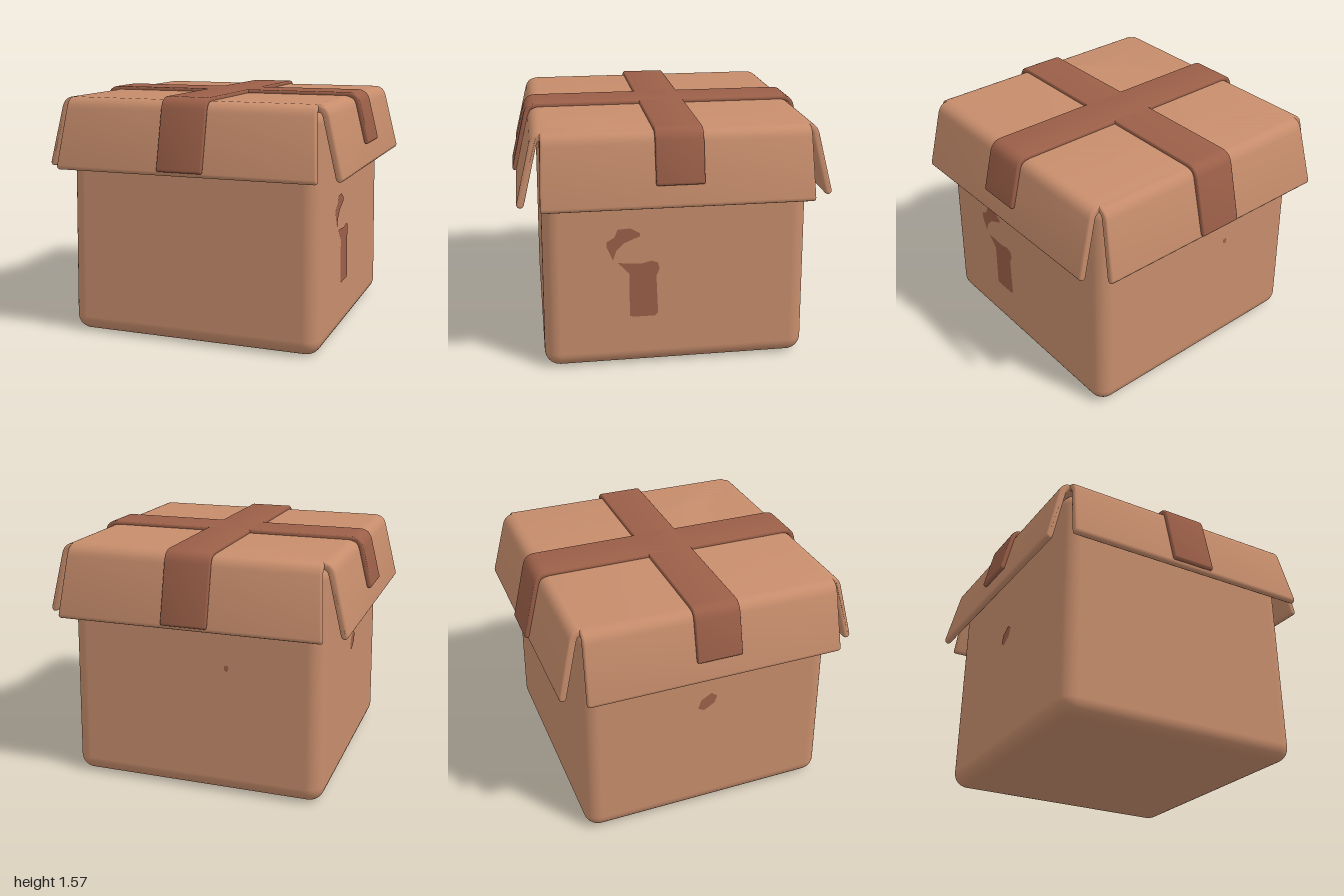
import * as THREE from 'three';
import { toCreasedNormals } from 'three/addons/utils/BufferGeometryUtils.js';
import { RoundedBoxGeometry } from 'three/addons/geometries/RoundedBoxGeometry.js';

const material = (name, color) => Object.assign(new THREE.MeshStandardMaterial({ color }), { name });

// Moves every vertex of a geometry by a rule
function bend(geometry, rule) {
  const pos = geometry.attributes.position;
  const v = new THREE.Vector3();
  for (let i = 0; i < pos.count; i++) {
    v.fromBufferAttribute(pos, i);
    rule(v);
    pos.setXYZ(i, v.x, v.y, v.z);
  }
  return geometry;
}

// Half width of the slightly tapered carton at height y
const half = (y) => 0.843 - 0.014 * y;

// A strip lying over the top and folded down at both ends, with rounded tips
function foldedStrip({ top, shoulder, corner, side, tip, thickness, halfWidth, flare = 0, bevel }) {
  const start = new THREE.Vector2(shoulder, top);
  const control = new THREE.Vector2(corner, top);
  const knee = new THREE.Vector2(...side);
  const end = new THREE.Vector2(...tip);
  const curve = new THREE.QuadraticBezierCurve(start, control, knee);
  const outer = [], inner = [];
  for (let i = 0; i <= 10; i++) {
    const p = curve.getPoint(i / 10), t = curve.getTangent(i / 10);
    outer.push(p);
    inner.push(new THREE.Vector2(p.x + t.y * thickness, p.y - t.x * thickness));
  }
  const d = end.clone().sub(knee).normalize();
  const n = new THREE.Vector2(-d.y, d.x);
  const r = thickness / 2;
  const centre = end.clone().addScaledVector(n, -r).addScaledVector(d, -r);
  const cap = [];
  for (let i = 0; i <= 6; i++) {
    const a = (i / 6) * Math.PI;
    cap.push(centre.clone().addScaledVector(n, r * Math.cos(a)).addScaledVector(d, r * Math.sin(a)));
  }
  const right = [...outer, ...cap, ...inner.reverse()];
  const left = right.map((p) => new THREE.Vector2(-p.x, p.y)).reverse();
  const depth = 2 * (halfWidth - bevel);
  const geometry = new THREE.ExtrudeGeometry(new THREE.Shape([...right, ...left]), {
    depth, bevelEnabled: true, bevelSize: bevel, bevelOffset: -bevel, bevelThickness: bevel, bevelSegments: 3,
  });
  geometry.translate(0, 0, -depth / 2);
  bend(geometry, (v) => { v.z *= 1 + flare * Math.max(0, (1.5 - v.y) / 0.4); });
  return toCreasedNormals(geometry, 0.7);
}

export function createModel() {
  const group = new THREE.Group();
  const cardboard = material('cardboard', 0xc78d6c);
  const tape = material('brown tape', 0x9b5f48);

  function add(name, geometry, mat, turn = 0) {
    const mesh = new THREE.Mesh(geometry, mat);
    mesh.name = name;
    mesh.rotation.y = turn;
    group.add(mesh);
    return mesh;
  }

  // Carton with rounded edges
  const carton = new RoundedBoxGeometry(1.68, 1.53, 1.68, 5, 0.1);
  carton.translate(0, 0.765, 0);
  bend(carton, (v) => {
    const s = half(v.y) / 0.84;
    v.x *= s;
    v.z *= s;
  });
  add('carton', carton, cardboard);

  // Lid: two crossing sheets whose ends hang down as flaps
  const lid = {
    top: 1.55, shoulder: 0.8, corner: 0.868, side: [0.885, 1.48], tip: [0.978, 1.105],
    thickness: 0.046, bevel: 0.014,
  };
  add('sideFlaps', foldedStrip({ ...lid, halfWidth: 0.82, flare: 0.02 }), cardboard);
  add('frontAndBackFlaps', foldedStrip({ ...lid, halfWidth: 0.815, flare: 0.045 }), cardboard, Math.PI / 2);

  // Tape cross over the lid, longer at the front and back
  const band = {
    top: 1.572, shoulder: 0.825, corner: 0.893, side: [0.91, 1.5],
    thickness: 0.032, halfWidth: 0.147, bevel: 0.01,
  };
  add('sideTape', foldedStrip({ ...band, tip: [0.974, 1.245] }), tape);
  add('frontToBackTape', foldedStrip({ ...band, tip: [1.0, 1.13] }), tape, Math.PI / 2);

  // Worn printed patches, given as outlines across each wall
  function patch(name, points, turn) {
    const geometry = new THREE.ShapeGeometry(new THREE.Shape(points.map((p) => new THREE.Vector2(...p))));
    bend(geometry, (v) => { v.z = half(v.y) + 0.004; });
    geometry.computeVertexNormals();
    add(name, geometry, tape, turn);
  }
  patch('lowerPatch', [
    [-0.30, 0.35], [-0.28, 0.34], [-0.14, 0.34], [-0.12, 0.36], [-0.13, 0.61], [-0.11, 0.66],
    [-0.12, 0.70], [-0.16, 0.715], [-0.22, 0.70], [-0.37, 0.71], [-0.30, 0.635],
  ], Math.PI / 2);
  patch('upperPatch', [
    [-0.40, 0.73], [-0.38, 0.79], [-0.33, 0.84], [-0.27, 0.865], [-0.23, 0.88], [-0.23, 0.90],
    [-0.29, 0.935], [-0.37, 0.93], [-0.39, 0.88], [-0.44, 0.85], [-0.44, 0.82],
  ], Math.PI / 2);
  patch('oppositePatch', [
    [-0.08, 0.80], [-0.04, 0.78], [0.03, 0.82], [0.05, 0.87], [0.01, 0.90], [-0.06, 0.86],
  ], -Math.PI / 2);
  patch('rearSpeck', [
    [0.205, 0.83], [0.225, 0.815], [0.235, 0.84], [0.23, 0.86], [0.205, 0.855],
  ], Math.PI);

  return group;
}
